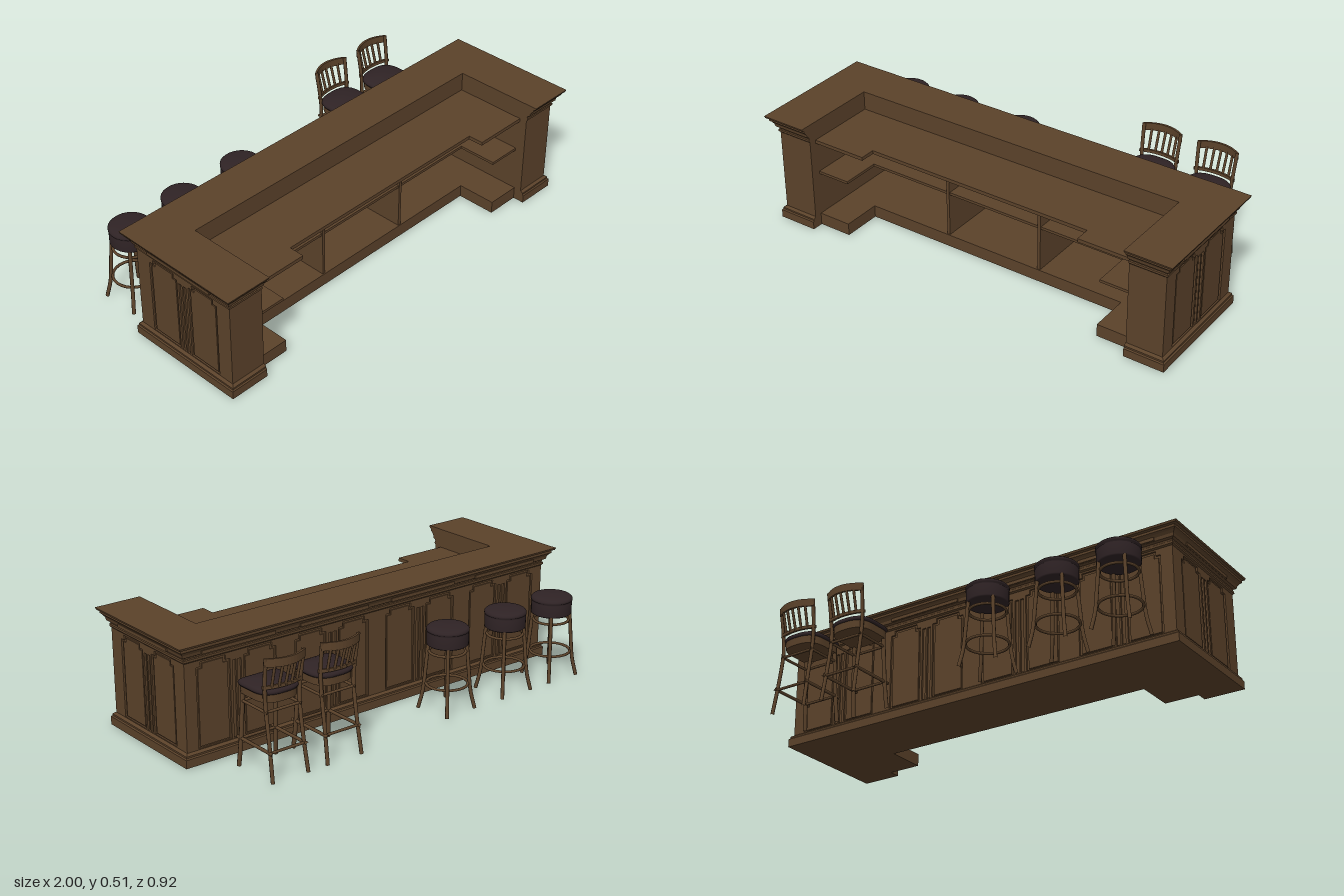
import * as THREE from 'three';

const wood = new THREE.MeshStandardMaterial({ color: 0x5b422a });
wood.name = 'brown wood';
const leather = new THREE.MeshStandardMaterial({ color: 0x2f2325 });
leather.name = 'dark leather';

const V = (x, y, z) => new THREE.Vector3(x, y, z);

function add(parent, name, geometry, material = wood) {
  const mesh = new THREE.Mesh(geometry, material);
  mesh.name = name;
  parent.add(mesh);
  return mesh;
}

// box given by its limits
function box(parent, name, x0, x1, y0, y1, z0, z1) {
  const m = add(parent, name, new THREE.BoxGeometry(x1 - x0, y1 - y0, z1 - z0));
  m.position.set((x0 + x1) / 2, (y0 + y1) / 2, (z0 + z1) / 2);
  return m;
}

function tube(parent, name, points, r = 0.008) {
  const curve = new THREE.CatmullRomCurve3(points);
  return add(parent, name, new THREE.TubeGeometry(curve, points.length > 2 ? 12 : 1, r, 8));
}

const shapeOf = (pts) => new THREE.Shape(pts.map((p) => new THREE.Vector2(p[0], p[1])));

// moulding that runs round the U-shaped bar: profile holds [outward offset, height]
function moulding(parent, name, profile, inner) {
  const outline = (d) => [
    [-0.79, 0.415 + d], [-0.955 - d, 0.415 + d], [-0.955 - d, -0.11 - d],
    [0.955 + d, -0.11 - d], [0.955 + d, 0.415 + d], [0.79, 0.415 + d], ...inner];
  const pos = [];
  for (let k = 0; k + 1 < profile.length; k++) {
    const lo = outline(profile[k][0]), hi = outline(profile[k + 1][0]);
    const y0 = profile[k][1], y1 = profile[k + 1][1];
    lo.forEach((p, i) => {
      const j = (i + 1) % lo.length;
      const a = [p[0], y0, p[1]], b = [lo[j][0], y0, lo[j][1]];
      const c = [hi[j][0], y1, hi[j][1]], d = [hi[i][0], y1, hi[i][1]];
      pos.push(...a, ...d, ...c, ...a, ...c, ...b);
    });
  }
  const g = new THREE.BufferGeometry();
  g.setAttribute('position', new THREE.Float32BufferAttribute(pos, 3));
  g.computeVertexNormals();
  add(parent, name, g);
  const first = profile[0], last = profile[profile.length - 1];
  const top = new THREE.ShapeGeometry(shapeOf(outline(last[0]).map(([x, z]) => [x, -z])));
  add(parent, name + 'Top', top.rotateX(-Math.PI / 2)).position.y = last[1];
  const bottom = new THREE.ShapeGeometry(shapeOf(outline(first[0])));
  add(parent, name + 'Underside', bottom.rotateX(Math.PI / 2)).position.y = first[1];
}

// notched panel opening
function panelOutline(u0, u1, y0, y1, n) {
  return [[u0, y0], [u1, y0], [u1, y1 - n], [u1 - n, y1 - n], [u1 - n, y1],
    [u0 + n, y1], [u0 + n, y1 - n], [u0, y1 - n]];
}

// framed wall section with two panels, two flutes and a frieze strip
function wallSection(parent, width) {
  const group = new THREE.Group();
  group.name = 'wallSection';
  const w = width / 2;
  const frame = shapeOf([[-w, 0.04], [w, 0.04], [w, 0.435], [-w, 0.435]]);
  for (const s of [-1, 1]) {
    const [a, b] = s < 0 ? [-0.19, -0.032] : [0.032, 0.19];
    frame.holes.push(shapeOf(panelOutline(a, b, 0.06, 0.42, 0.02)));
    const [f, g] = s < 0 ? [-0.021, -0.004] : [0.004, 0.021];
    frame.holes.push(shapeOf([[f, 0.06], [g, 0.06], [g, 0.39], [f, 0.39]]));
    const field = shapeOf(panelOutline(a + 0.01, b - 0.01, 0.066, 0.41, 0.02));
    add(group, 'raisedPanel', new THREE.ExtrudeGeometry(field, { depth: 0.005, bevelEnabled: false }));
  }
  add(group, 'panelFrame', new THREE.ExtrudeGeometry(frame, { depth: 0.008, bevelEnabled: false }));
  box(group, 'friezeStrip', -0.175, 0.175, 0.458, 0.472, 0, 0.03);
  parent.add(group);
  return group;
}

function createBar() {
  const bar = new THREE.Group();
  bar.name = 'bar';
  moulding(bar, 'plinth',
    [[0.017, 0], [0.017, 0.036], [0.012, 0.041], [0.012, 0.048], [0.004, 0.054], [0, 0.056]],
    [[0.79, 0.38], [0.635, 0.38], [0.635, 0.2], [-0.635, 0.2], [-0.635, 0.38], [-0.79, 0.38]]);
  moulding(bar, 'crown',
    [[0, 0.427], [0.006, 0.433], [0.006, 0.442], [0.002, 0.445], [0.004, 0.452], [0.014, 0.457],
      [0.017, 0.47], [0.024, 0.48], [0.032, 0.487], [0.032, 0.497], [0.042, 0.501], [0.045, 0.51]],
    [[0.79, 0.05], [-0.79, 0.05]]);
  // core walls
  box(bar, 'backWall', -0.947, 0.947, 0.04, 0.44, -0.102, -0.08);
  for (const s of [-1, 1]) {
    const [a, b] = s < 0 ? [-0.947, -0.79] : [0.79, 0.947];
    box(bar, 'endWall', a, b, 0.04, 0.44, -0.102, 0.415);
    const side = wallSection(bar, 0.525);
    side.rotation.y = s * Math.PI / 2;
    side.position.set(s * 0.947, 0, 0.1525);
    // deeper cabinet at each end of the counter
    const [c, d] = s < 0 ? [-0.79, -0.535] : [0.535, 0.79];
    box(bar, 'counterEnd', c, d, 0.408, 0.424, 0.3, 0.38);
    const [e, f] = s < 0 ? [-0.79, -0.635] : [0.635, 0.79];
    box(bar, 'endShelf', e, f, 0.253, 0.265, 0.19, 0.37);
    box(bar, 'shelfDivider', s * 0.232 - 0.007, s * 0.232 + 0.007, 0.05, 0.41, -0.08, 0.195);
  }
  for (let i = 0; i < 4; i++) {
    const section = wallSection(bar, 0.4735);
    section.rotation.y = Math.PI;
    section.position.set((i - 1.5) * 0.4735, 0, -0.102);
  }
  for (const s of [-1, 1]) for (const z of [-0.106, 0.411]) {
    box(bar, 'cornerPost', s * 0.951 - 0.004, s * 0.951 + 0.004, 0.04, 0.44, z - 0.004, z + 0.004);
  }
  // inside of the bar
  box(bar, 'counter', -0.79, 0.79, 0.408, 0.424, -0.08, 0.31);
  box(bar, 'riser', -0.79, 0.79, 0.42, 0.5, 0.03, 0.05);
  box(bar, 'shelf', -0.79, 0.79, 0.253, 0.265, -0.08, 0.19);
  return bar;
}

// lathe bent into a seat shape: squarer at the front, rounder at the rear
function seatGeometry(profile, hx, hz) {
  const g = new THREE.LatheGeometry(profile.map((p) => new THREE.Vector2(p[0], p[1])), 48);
  const p = g.attributes.position;
  for (let i = 0; i < p.count; i++) {
    const x = p.getX(i), z = p.getZ(i), r = Math.hypot(x, z);
    if (r < 1e-6) continue;
    const n = z > 0 ? 9 : 2.8;
    const k = (Math.abs(x / r) ** n + Math.abs(z / r) ** n) ** (-1 / n);
    p.setX(i, x * k * hx);
    p.setZ(i, z * k * hz);
  }
  g.computeVertexNormals();
  return g;
}

// curved back rail, drawn in plan and raised
function backRail(parent, z, bow, y, h) {
  const arc = (dz) => Array.from({ length: 13 }, (_, i) => {
    const t = i / 6 - 1;
    return [t * 0.094, -(z - bow * (1 - t * t) + dz)];
  });
  const shape = shapeOf([...arc(0.005), ...arc(-0.005).reverse()]);
  const g = new THREE.ExtrudeGeometry(shape, { depth: h, bevelEnabled: false });
  add(parent, 'backRail', g.rotateX(-Math.PI / 2)).position.y = y;
}

function createChair() {
  const chair = new THREE.Group();
  chair.name = 'barChair';
  add(chair, 'seatFrame', seatGeometry(
    [[0, 0.315], [0.94, 0.315], [0.94, 0.315], [0.96, 0.352], [0.96, 0.352], [0, 0.352]], 0.096, 0.095));
  add(chair, 'cushion', seatGeometry(
    [[0, 0.348], [0.97, 0.348], [1, 0.354], [1, 0.36], [0.95, 0.367], [0.7, 0.374], [0.35, 0.379], [0, 0.38]],
    0.099, 0.095), leather);
  for (const s of [-1, 1]) {
    tube(chair, 'frontLeg', [V(s * 0.088, 0, 0.1), V(s * 0.083, 0.12, 0.088), V(s * 0.078, 0.335, 0.076)], 0.009);
    tube(chair, 'backPost', [V(s * 0.085, 0, -0.118), V(s * 0.08, 0.15, -0.094), V(s * 0.08, 0.3, -0.074),
      V(s * 0.084, 0.38, -0.076), V(s * 0.089, 0.507, -0.094)], 0.008);
    tube(chair, 'sideStretcher', [V(s * 0.083, 0.12, 0.11), V(s * 0.083, 0.12, -0.12)], 0.007);
    tube(chair, 'sideRail', [V(s * 0.08, 0.28, 0.085), V(s * 0.08, 0.28, -0.09)], 0.006);
  }
  for (const [y, zs] of [[0.12, [0.088, -0.1]], [0.28, [0.078, -0.076]]]) {
    for (const z of zs) tube(chair, 'crossStretcher', [V(-0.085, y, z), V(0.085, y, z)], 0.006);
  }
  backRail(chair, -0.092, 0.034, 0.472, 0.034);
  backRail(chair, -0.075, 0.02, 0.376, 0.014);
  for (let i = -2; i <= 2; i++) {
    const t = i * 0.32, q = 1 - t * t;
    tube(chair, 'backSlat', [V(t * 0.092, 0.38, -0.075 - 0.02 * q), V(t * 0.094, 0.48, -0.092 - 0.034 * q)], 0.006);
  }
  return chair;
}

function createStool() {
  const stool = new THREE.Group();
  stool.name = 'barStool';
  const profile = [[0, 0.288], [0.083, 0.288], [0.088, 0.293], [0.088, 0.345], [0.084, 0.348], [0.09, 0.351],
    [0.09, 0.36], [0.083, 0.367], [0.05, 0.372], [0, 0.374]];
  add(stool, 'drumSeat',
    new THREE.LatheGeometry(profile.map((p) => new THREE.Vector2(p[0], p[1])), 40), leather);
  for (let i = 0; i < 4; i++) {
    const a = Math.PI / 4 + i * Math.PI / 2;
    const at = (r, y) => V(Math.cos(a) * r, y, Math.sin(a) * r);
    tube(stool, 'leg', [at(0.119, 0), at(0.1, 0.08), at(0.09, 0.18), at(0.08, 0.295)], 0.008);
  }
  for (const [y, r] of [[0.113, 0.088], [0.258, 0.077]]) {
    add(stool, 'footRing', new THREE.TorusGeometry(r, 0.006, 8, 40).rotateX(Math.PI / 2)).position.y = y;
  }
  return stool;
}

export function createModel() {
  const model = new THREE.Group();
  model.name = 'barCounterWithSeats';
  model.add(createBar());
  for (const x of [0.44, 0.705]) {
    const chair = createChair();
    chair.position.set(x, 0, -0.325);
    model.add(chair);
  }
  [[-0.825, 0], [-0.545, 0], [-0.215, 0.08]].forEach(([x, turn]) => {
    const stool = createStool();
    stool.position.set(x, 0, -0.31);
    stool.rotation.y = turn;
    model.add(stool);
  });
  return model;
}
